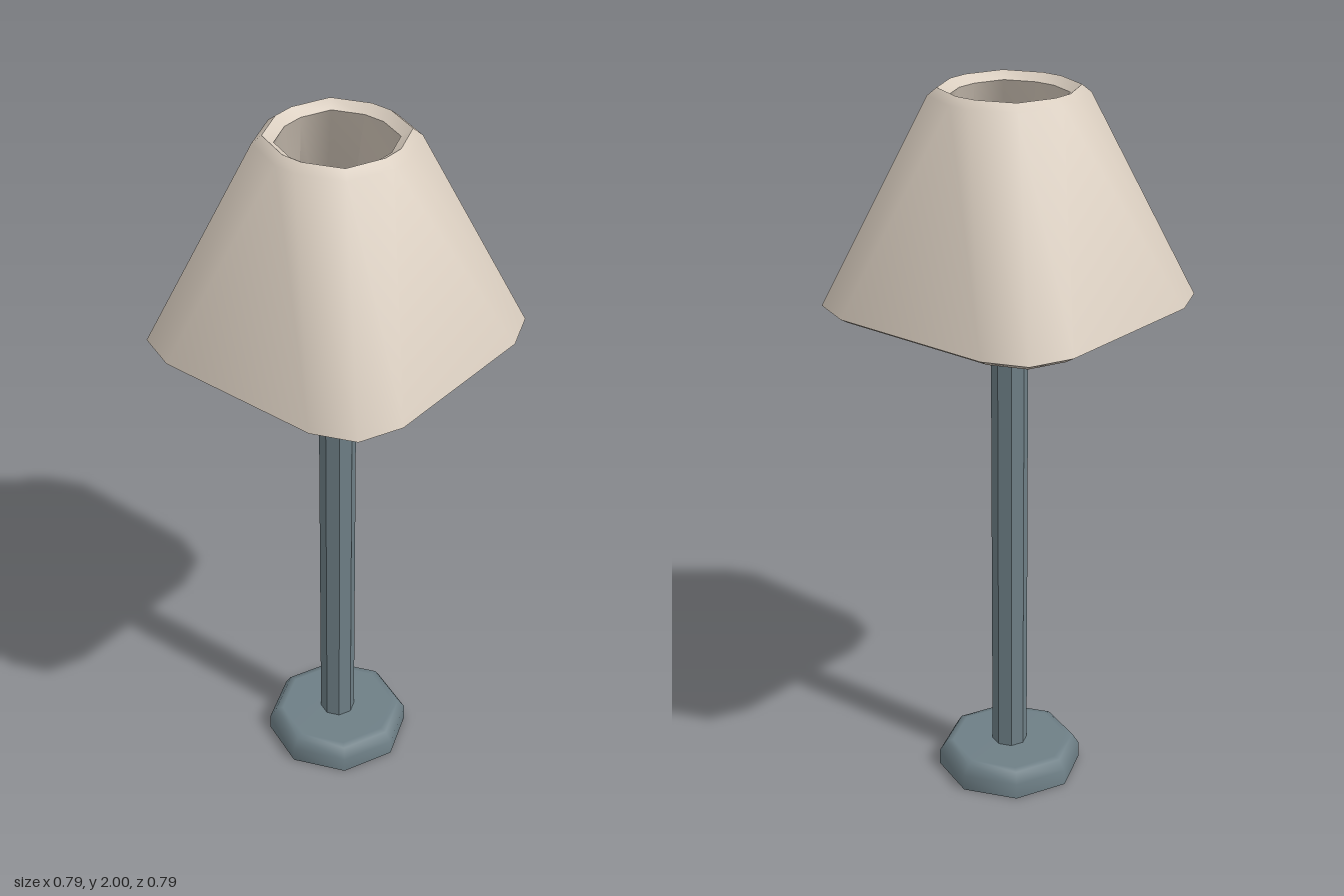
import * as THREE from 'three';
import { toCreasedNormals } from 'three/addons/utils/BufferGeometryUtils.js';

const mat = (name, color, extra = {}) => {
  const m = new THREE.MeshStandardMaterial({ color, ...extra });
  m.name = name;
  return m;
};

// Closed loop of rounded-square rings, each [half width, half length of the flat side, y]
function roundedSquareShell(rings) {
  const positions = [], index = [], n = 12;
  for (const [half, flat, y] of rings) {
    const r = half - flat;
    for (let q = 0; q < 4; q++) {
      const mid = q * Math.PI / 2 + Math.PI / 4;
      const cx = Math.sign(Math.cos(mid)) * flat, cz = Math.sign(Math.sin(mid)) * flat;
      for (let k = 0; k < 3; k++) {
        const a = q * Math.PI / 2 + k * Math.PI / 4;
        positions.push(cx + r * Math.cos(a), y, cz + r * Math.sin(a));
      }
    }
  }
  for (let i = 0; i < rings.length; i++) {
    const lower = i * n, upper = ((i + 1) % rings.length) * n;
    for (let j = 0; j < n; j++) {
      const k = (j + 1) % n;
      index.push(lower + j, upper + j, upper + k, lower + j, upper + k, lower + k);
    }
  }
  const g = new THREE.BufferGeometry();
  g.setAttribute('position', new THREE.Float32BufferAttribute(positions, 3));
  g.setIndex(index);
  return toCreasedNormals(g, 0.9);
}

const lathe = (points) =>
  new THREE.LatheGeometry(points.map(([x, y]) => new THREE.Vector2(x, y)), 8);

export function createModel() {
  const lamp = new THREE.Group();
  lamp.name = 'floorLamp';
  const metal = mat('greyMetal', 0x6e7f86);
  const cream = mat('creamFabric', 0xd9cdbf);

  const add = (name, geometry, material) => {
    const mesh = new THREE.Mesh(geometry, material);
    mesh.name = name;
    lamp.add(mesh);
    return mesh;
  };

  // Eight-sided foot with a softened upper edge
  add('base', lathe([[0.205, 0], [0.204, 0.045], [0.185, 0.075], [0.165, 0.078], [0, 0.078]]), metal);
  const underside = add('baseUnderside', new THREE.CircleGeometry(0.205, 8), metal);
  underside.rotation.x = Math.PI / 2;

  // Faceted pole
  const pole = new THREE.CylinderGeometry(0.05, 0.05, 1.44, 8).toNonIndexed();
  pole.computeVertexNormals();
  add('pole', pole, metal).position.y = 0.79;

  // Bulb rising out of a narrow neck
  add('bulb', lathe([
    [0.042, 1.5], [0.042, 1.545], [0.085, 1.62], [0.1, 1.68], [0.086, 1.73], [0.05, 1.765], [0, 1.78],
  ]), cream);

  // Hollow shade: square at the bottom, nearly round at the top, with bevelled rims
  add('shade', roundedSquareShell([
    [0.397, 0.235, 1.43],
    [0.197, 0.03, 1.98],
    [0.172, 0.03, 2],
    [0.143, 0.03, 1.98],
    [0.325, 0.235, 1.43],
    [0.372, 0.235, 1.415],
  ]), cream);

  return lamp;
}
